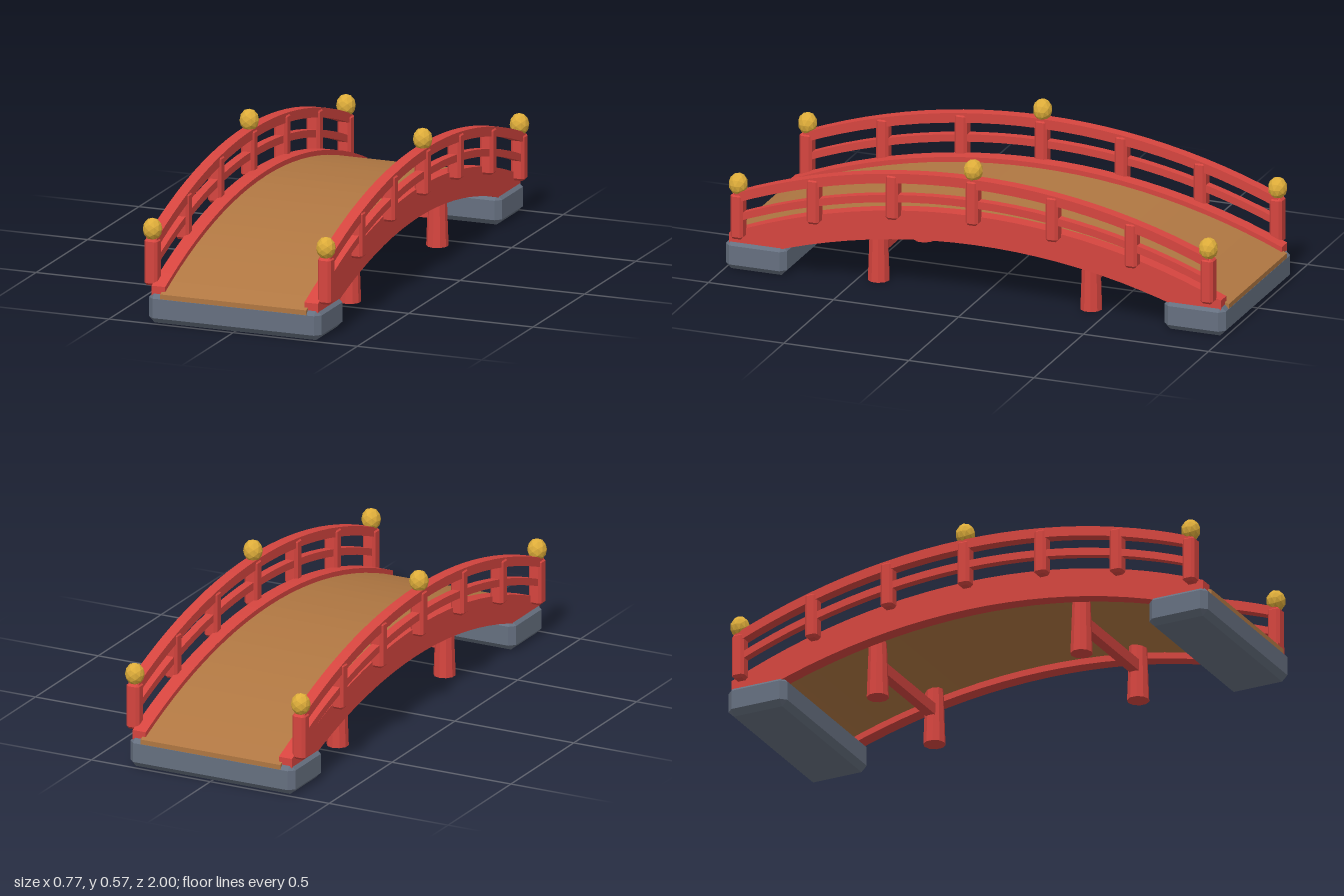
import * as THREE from 'three';
import { ConvexGeometry } from 'three/addons/geometries/ConvexGeometry.js';

const mat = (name, color) => {
  const m = new THREE.MeshStandardMaterial({ color, flatShading: true });
  m.name = name;
  return m;
};

// Circular arch: drop below the crown at distance z from the middle
const RADIUS = 2.52;
const drop = (z) => RADIUS - Math.sqrt(RADIUS * RADIUS - z * z);
// Positions evenly spaced along the arc, t from -1 to 1
const along = (t, half) => RADIUS * Math.sin(t * Math.asin(half / RADIUS));

// Box with all edges chamfered
function chamferBox(w, h, d, c) {
  const pts = [];
  for (const sx of [-1, 1]) for (const sy of [-1, 1]) for (const sz of [-1, 1]) {
    const x = w / 2, y = h / 2, z = d / 2;
    pts.push(new THREE.Vector3(sx * x, sy * (y - c), sz * (z - c)));
    pts.push(new THREE.Vector3(sx * (x - c), sy * y, sz * (z - c)));
    pts.push(new THREE.Vector3(sx * (x - c), sy * (y - c), sz * z));
  }
  return new ConvexGeometry(pts);
}

// Beam following the arch: crown heights bottom..top, half length, width in x
function archBeam(bottom, top, half, width, segments = 24) {
  const shape = new THREE.Shape();
  const z = (i) => along((2 * i) / segments - 1, half);
  shape.moveTo(z(0), bottom - drop(z(0)));
  for (let i = 1; i <= segments; i++) shape.lineTo(z(i), bottom - drop(z(i)));
  for (let i = segments; i >= 0; i--) shape.lineTo(z(i), top - drop(z(i)));
  const geo = new THREE.ExtrudeGeometry(shape, { depth: width, bevelEnabled: false });
  geo.translate(0, 0, -width / 2);
  geo.rotateY(-Math.PI / 2);
  return geo;
}

export function createModel() {
  const red = mat('red lacquer', 0xd6453f);
  const wood = mat('deck wood', 0xb07742);
  const stone = mat('stone', 0x667080);
  const gold = mat('gold', 0xdead3a);

  const model = new THREE.Group();
  model.name = 'archBridge';
  const add = (name, geo, material, x = 0, y = 0, z = 0) => {
    const mesh = new THREE.Mesh(geo, material);
    mesh.name = name;
    mesh.position.set(x, y, z);
    model.add(mesh);
  };

  add('deck', archBeam(0.253, 0.323, 0.9995, 0.588), wood);

  // Shared geometries
  const girder = archBeam(0.228, 0.342, 0.984, 0.055);
  const topRail = archBeam(0.462, 0.5, 0.95, 0.044);
  const midRail = archBeam(0.385, 0.414, 0.95, 0.032);
  const post = chamferBox(0.054, 0.18, 0.05, 0.01);
  const finial = new THREE.IcosahedronGeometry(0.037, 1);
  finial.scale(1, 1.17, 1);
  const leg = new THREE.CylinderGeometry(0.033, 0.042, 0.255, 10);
  const foundation = chamferBox(0.694, 0.119, 0.245, 0.022);

  // Girders, rails, posts and finials on both sides
  for (const side of [-1, 1]) {
    const railX = side * 0.349;
    add('girder', girder, red, side * 0.3075);
    add('topRail', topRail, red, railX);
    add('midRail', midRail, red, railX);
    for (let i = -3; i <= 3; i++) {
      const z = along(i / 3, 0.94);
      add('post', post, red, railX, 0.406 - drop(z), z);
      if (i % 3 === 0) add('finial', finial, gold, railX, 0.53 - drop(z), z);
    }
  }

  // Stone foundations, and legs joined by cross beams
  for (const end of [-1, 1]) {
    add('foundation', foundation, stone, 0, 0.0595, end * 0.8775);
    for (const side of [-1, 1]) add('leg', leg, red, side * 0.232, 0.1275, end * 0.425);
    add('crossBeam', new THREE.BoxGeometry(0.46, 0.046, 0.038), red, 0, 0.13, end * 0.425);
  }
  return model;
}
